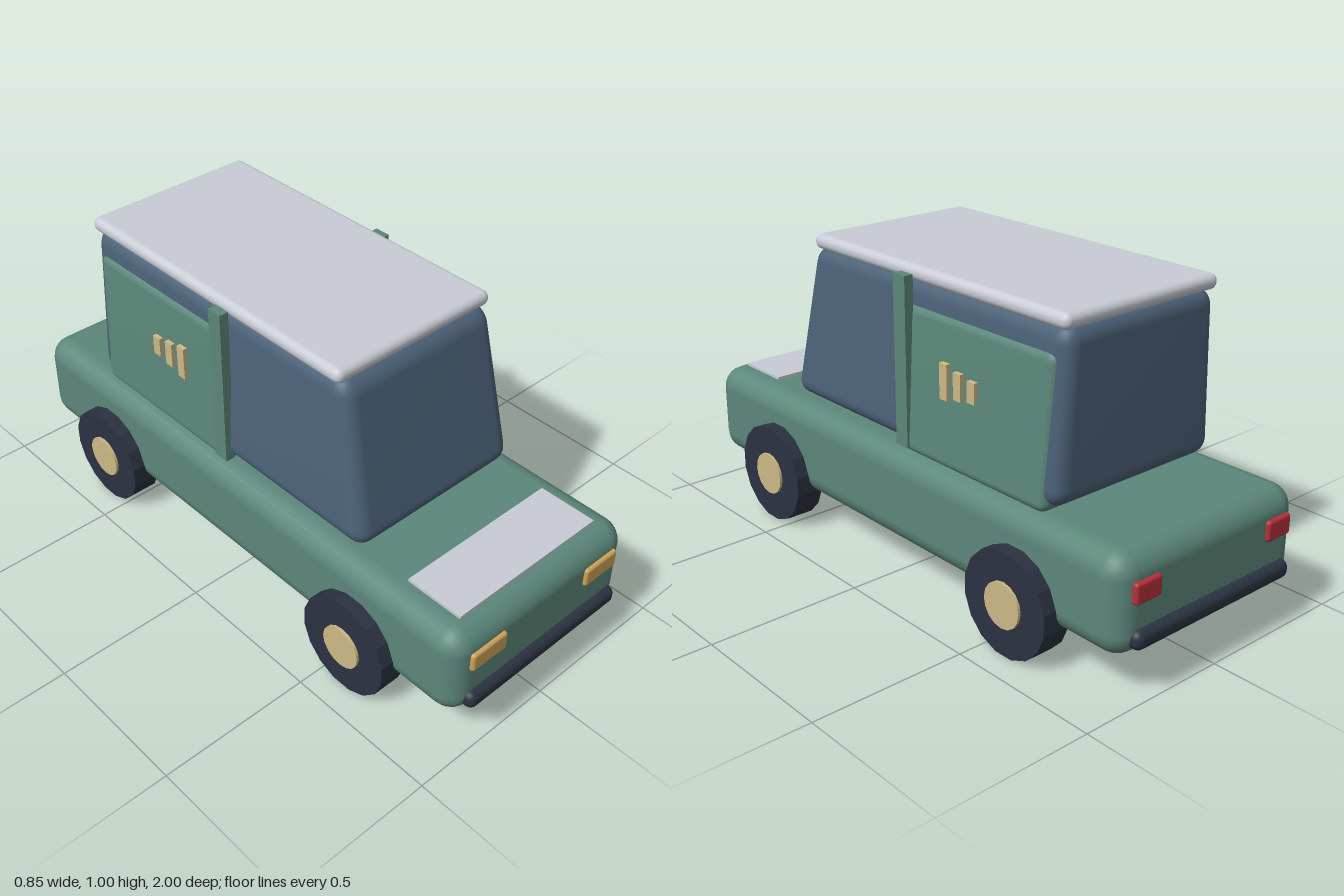
import * as THREE from 'three';
import { RoundedBoxGeometry } from 'three/addons/geometries/RoundedBoxGeometry.js';
import { mergeVertices } from 'three/addons/utils/BufferGeometryUtils.js';

const material = (name, color, options = {}) => {
  const m = new THREE.MeshStandardMaterial({ color, ...options });
  m.name = name;
  return m;
};

export function createModel() {
  const green = material('green paint', 0x5c877a);
  const glass = material('tinted glass', 0x4c6279);
  const pale = material('pale grey', 0xc9ccd5);
  const dark = material('dark rubber', 0x2b3241);
  const cream = material('cream', 0xcdb986);
  const amber = material('amber lamp', 0xd0a45a);
  const red = material('red lamp', 0xb5303a);
  const group = new THREE.Group();

  const add = (name, geometry, mat, x = 0, y = 0, z = 0) => {
    const mesh = new THREE.Mesh(geometry, mat);
    mesh.name = name;
    mesh.position.set(x, y, z);
    group.add(mesh);
    return mesh;
  };

  // Box given by its limits; a radius rounds its edges
  const block = (name, mat, [x0, x1], [y0, y1], [z0, z1], radius = 0) => {
    const size = [x1 - x0, y1 - y0, z1 - z0];
    const geometry = radius
      ? new RoundedBoxGeometry(...size, 3, radius)
      : new THREE.BoxGeometry(...size);
    return add(name, geometry, mat, (x0 + x1) / 2, (y0 + y1) / 2, (z0 + z1) / 2);
  };

  // Rounded box whose half width and z limits change linearly from bottom to top
  const taperedBlock = (name, mat, [y0, y1], bottom, top, radius) => {
    const w = 2 * bottom.x, h = y1 - y0, d = bottom.front - bottom.back;
    let geometry = new RoundedBoxGeometry(w, h, d, 3, radius);
    const p = geometry.attributes.position;
    for (let i = 0; i < p.count; i++) {
      const t = p.getY(i) / h + 0.5;
      const half = THREE.MathUtils.lerp(bottom.x, top.x, t);
      const front = THREE.MathUtils.lerp(bottom.front, top.front, t);
      const back = THREE.MathUtils.lerp(bottom.back, top.back, t);
      p.setXYZ(i, p.getX(i) / bottom.x * half, y0 + t * h,
        THREE.MathUtils.lerp(back, front, p.getZ(i) / d + 0.5));
    }
    geometry.deleteAttribute('normal');
    geometry.deleteAttribute('uv');
    geometry = mergeVertices(geometry, 1e-5);
    geometry.computeVertexNormals();
    return add(name, geometry, mat);
  };

  // Lower body, hood plate and bumpers
  block('body', green, [-0.37, 0.37], [0.125, 0.433], [-0.975, 0.975], 0.072);
  block('hoodPlate', pale, [-0.285, 0.285], [0.43, 0.442], [0.71, 0.905]);
  block('frontBumper', dark, [-0.32, 0.32], [0.158, 0.217], [0.945, 1], 0.025);
  block('rearBumper', dark, [-0.32, 0.32], [0.158, 0.217], [-1, -0.945], 0.025);

  // Glass cabin, rear shell around it, and roof
  taperedBlock('cabinGlass', glass, [0.445, 0.965],
    { x: 0.323, front: 0.562, back: -0.688 }, { x: 0.293, front: 0.447, back: -0.694 }, 0.055);
  taperedBlock('rearShell', green, [0.428, 0.89],
    { x: 0.331, front: -0.02, back: -0.645 }, { x: 0.308, front: -0.02, back: -0.66 }, 0.03);
  block('roof', pale, [-0.302, 0.302], [0.954, 1.002], [-0.692, 0.435], 0.023);

  // Lamps, pillars, side bars and wheels, mirrored left and right
  for (const side of [1, -1]) {
    const label = side > 0 ? 'left' : 'right';
    const span = (a, b) => (side > 0 ? [a, b] : [-b, -a]);
    block(label + 'Headlight', amber, span(0.17, 0.31), [0.303, 0.367], [0.955, 0.986], 0.01);
    block(label + 'TailLight', red, span(0.22, 0.32), [0.295, 0.36], [-0.988, -0.955], 0.01);
    block(label + 'Pillar', green, span(0.306, 0.337), [0.445, 0.978], [-0.07, -0.017]);

    [0.11, 0.083, 0.065].forEach((height, i) => {
      const z = -0.23 - i * 0.06;
      block(label + 'SideBar' + (i + 1), cream, span(0.322, 0.33),
        [0.7 - height / 2, 0.7 + height / 2], [z - 0.016, z + 0.016]);
      // Backing joins the upright bar to the leaning shell
      block(label + 'SideBarBase' + (i + 1), cream, span(0.313, 0.322),
        [0.7 - height / 2, 0.7 + height / 2], [z - 0.016, z + 0.016]);
    });

    for (const [end, z] of [['Front', 0.585], ['Rear', -0.585]]) {
      const tyre = new THREE.CylinderGeometry(0.165, 0.165, 0.094, 16).toNonIndexed();
      tyre.rotateY(Math.PI / 16).rotateZ(Math.PI / 2).computeVertexNormals();
      add(label + end + 'Tyre', tyre, dark, side * 0.367, 0.165, z);
      const hub = new THREE.CylinderGeometry(0.071, 0.071, 0.1, 16).rotateZ(Math.PI / 2);
      add(label + end + 'Hub', hub, cream, side * 0.373, 0.165, z);
    }
  }
  return group;
}
